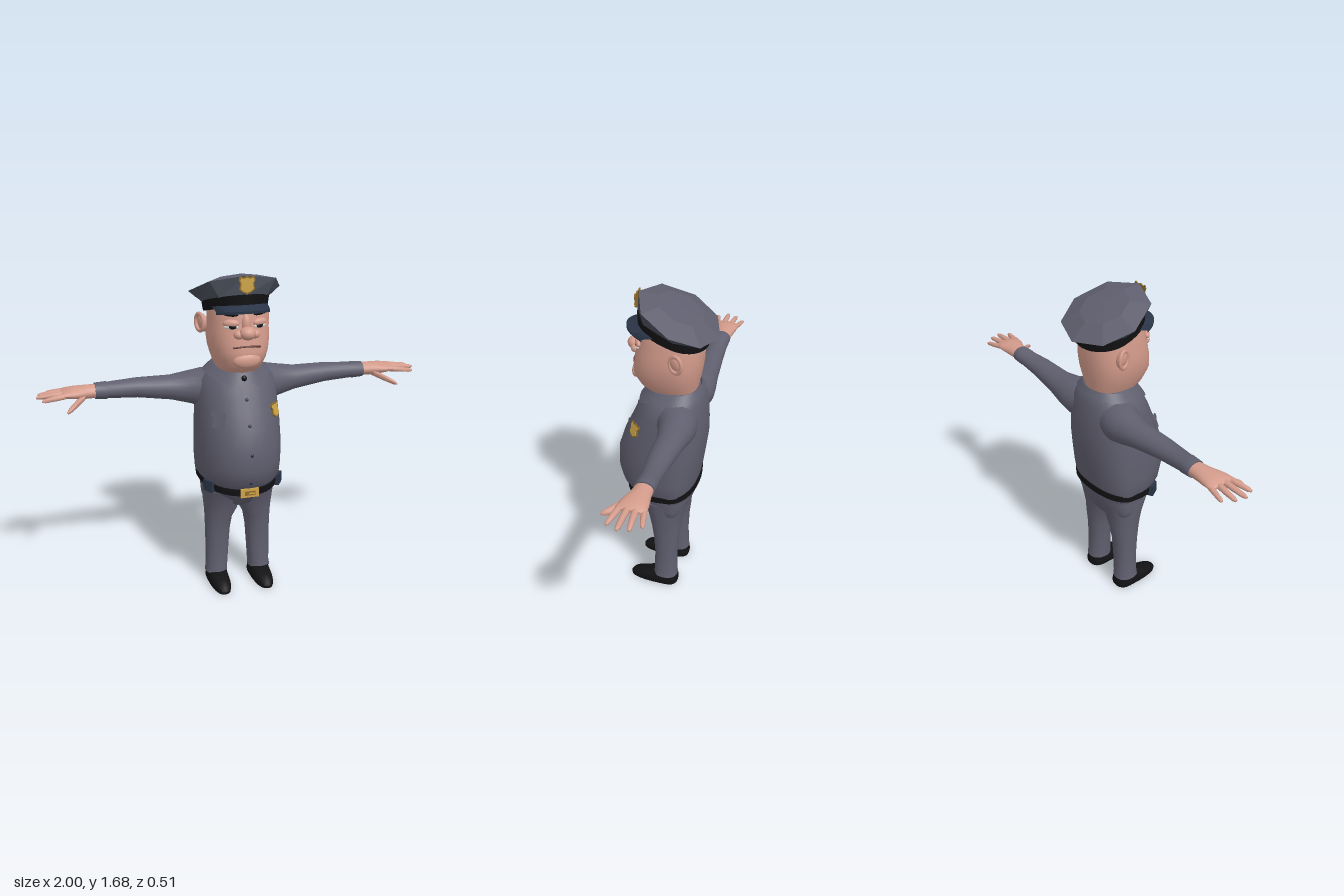
import * as THREE from 'three';
import { toCreasedNormals } from 'three/addons/utils/BufferGeometryUtils.js';

const paint = (name, color) => Object.assign(new THREE.MeshStandardMaterial({ color }), { name });
const lerp = THREE.MathUtils.lerp;

export function createModel() {
  const model = new THREE.Group();
  model.name = 'officer';
  const cloth = paint('uniform grey', 0x605f6f), capCloth = paint('cap grey', 0x4a4f5b);
  const navy = paint('navy', 0x2a3548), black = paint('black', 0x121214);
  const gold = paint('gold', 0xcda449), darkGold = paint('dark gold', 0x8f6c28);
  const skin = paint('skin', 0xd39b8b), white = paint('eye white', 0xe6e0da), lip = paint('mouth brown', 0x5c322c);

  const add = (name, geo, mat, pos = [0, 0, 0], rot = [0, 0, 0]) => {
    const m = new THREE.Mesh(geo, mat);
    m.name = name;
    m.position.set(...pos);
    m.rotation.set(...rot);
    model.add(m);
    return m;
  };
  // Grid surface through f(i, j); the outside is on the side of di x dj
  const surface = (f, ni, nj, crease = 0.9) => {
    const p = [], idx = [];
    for (let i = 0; i <= ni; i++) for (let j = 0; j <= nj; j++) p.push(...f(i, j));
    for (let i = 0; i < ni; i++) for (let j = 0; j < nj; j++) {
      const a = i * (nj + 1) + j, b = a + nj + 1;
      idx.push(a, b, a + 1, a + 1, b, b + 1);
    }
    const g = new THREE.BufferGeometry();
    g.setAttribute('position', new THREE.Float32BufferAttribute(p, 3));
    g.setIndex(idx);
    return toCreasedNormals(g, crease);
  };
  const bend = (v, e) => Math.sign(v) * Math.abs(v) ** (2 / e);
  // Closed upright loft; row = [y, half width, front z, back z, tilt, centre x]
  const upright = (rows, { zc = -0.06, e = 2.2, seg = 32, crease } = {}) => surface((i, j) => {
    const [y, rx, zf, zb, tilt = 0, cx = 0] = rows[Math.min(Math.max(i - 1, 0), rows.length - 1)];
    const k = i === 0 || i === rows.length + 1 ? 0 : 1, t = (j % seg) / seg * Math.PI * 2;
    const s = bend(Math.sin(t), e) * k, dz = s * (s > 0 ? zf - zc : zc - zb);
    return [cx + rx * bend(Math.cos(t), e) * k, y + tilt * dz, zc + dz];
  }, rows.length + 1, seg, crease);
  // Closed loft along x on the given side; row = [x, y, half height, z, half depth]
  const sideways = (rows, side, seg = 20) => surface((i, j) => {
    const [x, y, ry, z, rz] = rows[Math.min(Math.max(i - 1, 0), rows.length - 1)];
    const k = i === 0 || i === rows.length + 1 ? 0 : 1;
    const t = ((side > 0 ? j : seg - j) % seg) / seg * Math.PI * 2;
    return [x * side, y + ry * Math.cos(t) * k, z - rz * Math.sin(t) * k];
  }, rows.length + 1, seg);
  // Front depth of an upright loft at x, y
  const depth = (rows, x, y, zc, e) => {
    let n = 1;
    while (n < rows.length - 1 && rows[n][0] < y) n++;
    const a = rows[n - 1], b = rows[n], t = (y - a[0]) / (b[0] - a[0]);
    const rx = lerp(a[1], b[1], t), zf = lerp(a[2], b[2], t);
    return zc + (zf - zc) * Math.max(0, 1 - Math.abs(x / rx) ** e) ** (1 / e);
  };
  const ball = (name, mat, pos, scale, rot) =>
    add(name, new THREE.SphereGeometry(1, 20, 14).scale(...scale), mat, pos, rot);

  // Torso
  const torso = [[0.58, 0.19, 0.18, -0.15], [0.61, 0.2, 0.203, -0.156], [0.65, 0.218, 0.235, -0.165], [0.72, 0.222, 0.255, -0.178],
    [0.82, 0.222, 0.253, -0.192], [0.92, 0.218, 0.222, -0.205], [1, 0.212, 0.185, -0.205],
    [1.08, 0.205, 0.15, -0.2], [1.14, 0.19, 0.12, -0.19], [1.18, 0.155, 0.1, -0.18], [1.21, 0.11, 0.08, -0.16]];
  add('shirt', upright(torso), cloth);
  const shirtZ = (x, y) => depth(torso, x, y, -0.06, 2.2);
  const onShirt = (obj, x, y, lift = 0) => {
    const z = shirtZ(x, y), d = 0.01;
    const n = new THREE.Vector3((shirtZ(x - d, y) - shirtZ(x + d, y)) / (2 * d),
      (shirtZ(x, y - d) - shirtZ(x, y + d)) / (2 * d), 1).normalize();
    obj.position.set(x, y, z).addScaledVector(n, lift);
    obj.lookAt(obj.position.clone().add(n));
  };
  for (const y of [1.07, 0.95, 0.81, 0.655])
    onShirt(add('button', new THREE.SphereGeometry(0.009, 10, 8).scale(1, 1, 0.5), navy), 0, y);
  onShirt(add('pocket', new THREE.BoxGeometry(0.065, 0.07, 0.008), cloth), -0.14, 0.97, 0.002);
  onShirt(add('pocketFlap', new THREE.BoxGeometry(0.072, 0.022, 0.009), cloth), -0.14, 1.0, 0.007);

  // Open collar with two pointed flaps
  add('collar', surface((i, j) => {
    const a = THREE.MathUtils.degToRad(96 + 348 * j / 58), c = Math.cos(a), s = Math.sin(a);
    const [y, rx, zf, zb] = [[1.165, 0.15, 0.11, -0.17], [1.175, 0.17, 0.128, -0.186],
      [1.212, 0.128, 0.1, -0.168], [1.17, 0.115, 0.085, -0.155]][i];
    const away = Math.abs(Math.asin(s) - 1.08) / 0.5;
    const drop = i === 1 && s > 0 ? 0.035 * Math.max(0, 1 - away) : 0, k = 1 + drop * 3;
    const dz = s * (s > 0 ? zf + 0.06 : -0.06 - zb) * k;
    return [rx * c * k, y - 0.1 * dz - drop, -0.06 + dz];
  }, 3, 58, 0.6), cloth);
  ball('collarStud', black, [0, 1.165, 0.105], [0.014, 0.016, 0.012]);

  // Hips, legs and shoes
  add('hips', upright([[0.45, 0.1, 0.04, -0.09], [0.47, 0.16, 0.07, -0.11], [0.5, 0.186, 0.088, -0.122], [0.53, 0.19, 0.122, -0.135],
    [0.57, 0.193, 0.168, -0.15], [0.62, 0.195, 0.185, -0.158]]), cloth);
  const leg = [[0.055, 0.06, 0.18, 0.042, -0.09], [0.08, 0.06, 0.176, 0.038, -0.086], [0.2, 0.052, 0.175, 0.036, -0.085],
    [0.3, 0.045, 0.176, 0.043, -0.09], [0.38, 0.032, 0.178, 0.055, -0.1], [0.43, 0.005, 0.181, 0.068, -0.105],
    [0.48, -0.005, 0.186, 0.08, -0.115], [0.56, -0.02, 0.19, 0.12, -0.135]];
  const shoe = [[0, 0.054, 0.172, -0.09], [0.015, 0.057, 0.174, -0.093], [0.03, 0.055, 0.162, -0.092],
    [0.046, 0.052, 0.1, -0.09], [0.068, 0.05, 0.03, -0.085]];
  for (const s of [1, -1]) {
    add('trouserLeg', upright(leg.map(([y, xi, xo, f, b]) => [y, (xo - xi) / 2, f, b, 0, s * (xo + xi) / 2]),
      { zc: -0.025, seg: 24 }), cloth);
    add('shoe', upright(shoe.map(r => [...r, 0, s * 0.118]), { zc: -0.03, e: 2.5, seg: 24 }), black);
  }

  // Belt, buckle and pouches
  add('belt', upright([[0.612, 0.213, 0.208, -0.172, -0.137], [0.648, 0.215, 0.212, -0.174, -0.137]]), black);
  add('buckle', new THREE.BoxGeometry(0.095, 0.046, 0.014), gold, [0, 0.594, 0.21]);
  add('buckleInset', new THREE.BoxGeometry(0.055, 0.022, 0.006), darkGold, [0, 0.594, 0.217]);
  add('bucklePin', new THREE.BoxGeometry(0.03, 0.007, 0.006), gold, [0.008, 0.594, 0.22]);
  for (const s of [1, -1])
    add('beltPouch', new THREE.BoxGeometry(0.06, 0.058, 0.035), navy, [s * 0.18, 0.61, 0.1], [0, s * 1.02, 0]);

  // Arms and hands
  const sleeve = [[0.1, 1.075, 0.11, -0.06, 0.12], [0.17, 1.077, 0.102, -0.09, 0.105], [0.23, 1.08, 0.085, -0.105, 0.086],
    [0.33, 1.086, 0.063, -0.107, 0.07], [0.5, 1.1, 0.05, -0.105, 0.058], [0.65, 1.1, 0.041, -0.103, 0.048],
    [0.655, 1.1, 0.044, -0.103, 0.05], [0.712, 1.1, 0.041, -0.103, 0.048]];
  const palm = [[0.69, 1.1, 0.034, -0.103, 0.041], [0.76, 1.101, 0.034, -0.1, 0.05],
    [0.82, 1.104, 0.028, -0.095, 0.066], [0.865, 1.106, 0.019, -0.093, 0.07], [0.88, 1.106, 0.008, -0.093, 0.06]];
  // Each digit runs from base to tip: [x, y, z, x, y, z, thickness, spread]
  const digits = [[0.84, 1.104, -0.145, 0.95, 1.092, -0.17, 0.013, 0.014], [0.85, 1.108, -0.112, 0.988, 1.096, -0.124, 0.014, 0.015],
    [0.85, 1.108, -0.077, 1, 1.098, -0.074, 0.014, 0.015], [0.84, 1.106, -0.045, 0.975, 1.094, -0.02, 0.014, 0.015],
    [0.765, 1.085, -0.075, 0.862, 1.045, 0.037, 0.016, 0.028]];
  for (const s of [1, -1]) {
    add('sleeve', sideways(sleeve, s, 24), cloth);
    add('palm', sideways(palm, s), skin);
    for (const [x, y, z, X, Y, Z, r, w] of digits)
      add('finger', sideways([[0, 1.05], [0.5, 1], [0.88, 0.8], [1, 0.4]].map(([t, k]) =>
        [lerp(x, X, t), lerp(y, Y, t), r * k, lerp(z, Z, t), w * k]), s, 10), skin);
  }

  // Head and face
  const head = [[1.15, 0.09, 0.06, -0.14], [1.19, 0.1, 0.09, -0.15], [1.22, 0.118, 0.135, -0.155], [1.27, 0.135, 0.168, -0.165],
    [1.31, 0.147, 0.167, -0.172], [1.36, 0.153, 0.16, -0.178], [1.41, 0.151, 0.15, -0.18], [1.46, 0.146, 0.14, -0.18],
    [1.52, 0.14, 0.135, -0.175], [1.56, 0.13, 0.12, -0.165]];
  add('head', upright(head, { zc: -0.03, e: 2.4 }), skin);
  const faceZ = (x, y) => depth(head, x, y, -0.03, 2.4);
  ball('noseTip', skin, [0, 1.408, 0.165], [0.04, 0.033, 0.038]);
  ball('noseBridge', skin, [0, 1.445, 0.135], [0.024, 0.05, 0.025]);
  ball('chin', skin, [0, 1.27, 0.15], [0.07, 0.04, 0.027]);
  for (const s of [1, -1]) {
    ball('nostril', skin, [s * 0.04, 1.4, 0.15], [0.026, 0.022, 0.025]);
    const x = s * 0.072, z = faceZ(x, 1.435), turn = [0, s * 0.35, 0];
    ball('eyelid', skin, [x, 1.452, z - 0.006], [0.04, 0.02, 0.017], turn);
    ball('eyeWhite', white, [x, 1.436, z - 0.002], [0.036, 0.012, 0.011], turn);
    ball('iris', black, [x - s * 0.004, 1.437, z + 0.002], [0.023, 0.012, 0.011], turn);
    ball('eyebrow', black, [s * 0.076, 1.497, faceZ(s * 0.076, 1.497)], [0.042, 0.012, 0.012], [0, s * 0.35, s * 0.1]);
    ball('ear', skin, [s * 0.16, 1.415, -0.085], [0.022, 0.048, 0.035], [0, s * -0.3, s * -0.15]);
    add('earRim', new THREE.TorusGeometry(0.034, 0.009, 8, 24).scale(1, 1.25, 1), skin,
      [s * 0.176, 1.417, -0.087], [0, s * 1.2, 0]);
  }
  const mouthLine = [-0.07, -0.04, 0, 0.04, 0.07].map(x => {
    const y = 1.342 - 1.5 * x * x;
    return new THREE.Vector3(x, y, faceZ(x, y));
  });
  add('mouth', new THREE.TubeGeometry(new THREE.CatmullRomCurve3(mouthLine), 20, 0.004, 6), lip);

  // Peaked cap: band, eight-sided crown, tilted top and visor
  add('capBand', upright([[1.478, 0.158, 0.145, -0.2, 0.25], [1.527, 0.166, 0.148, -0.205, 0.3]], { e: 2, zc: -0.07 }), black);
  add('capCrown', upright([[1.524, 0.168, 0.15, -0.207, 0.3], [1.58, 0.235, 0.143, -0.255, 0.47]],
    { e: 2, zc: -0.07, seg: 8, crease: 0.1 }), capCloth);
  add('capTop', upright([[1.58, 0.235, 0.143, -0.255, 0.47], [1.618, 0.13, 0.05, -0.175, 0.47], [1.626, 0.02, -0.055, -0.085, 0.47]],
    { e: 2, zc: -0.07, seg: 8, crease: 0.15 }), cloth);
  add('visor', surface((i, j) => {
    const a = THREE.MathUtils.degToRad(22 + 136 * j / 20), c = Math.cos(a), s = Math.sin(a);
    const y = i < 2 ? -0.012 : 0;
    return i % 3 === 0 ? [0.152 * c, 1.545 + y - 0.04 * (1 - s), -0.04 + 0.175 * s]
      : [0.146 * c, 1.523 + y - 0.035 * (1 - s), 0.02 + 0.182 * s];
  }, 3, 20), navy);

  // Shield badges
  const shield = size => {
    const s = new THREE.Shape();
    [[0, 0.5], [0.22, 0.42], [0.42, 0.5], [0.5, 0.3], [0.4, 0.1], [0.46, -0.25], [0.25, -0.42], [0, -0.52],
      [-0.25, -0.42], [-0.46, -0.25], [-0.4, 0.1], [-0.5, 0.3], [-0.42, 0.5], [-0.22, 0.42]]
      .forEach(([x, y], n) => s[n ? 'lineTo' : 'moveTo'](x * size, y * size));
    return new THREE.ExtrudeGeometry(s, { depth: 0.006, bevelEnabled: false });
  };
  add('capBadgeRim', shield(0.084), darkGold, [0, 1.638, 0.147]);
  add('capBadge', shield(0.07), gold, [0, 1.638, 0.15]);
  onShirt(add('chestBadgeRim', shield(0.074), darkGold), 0.15, 0.995, 0.003);
  onShirt(add('chestBadge', shield(0.061), gold), 0.15, 0.995, 0.006);
  return model;
}
